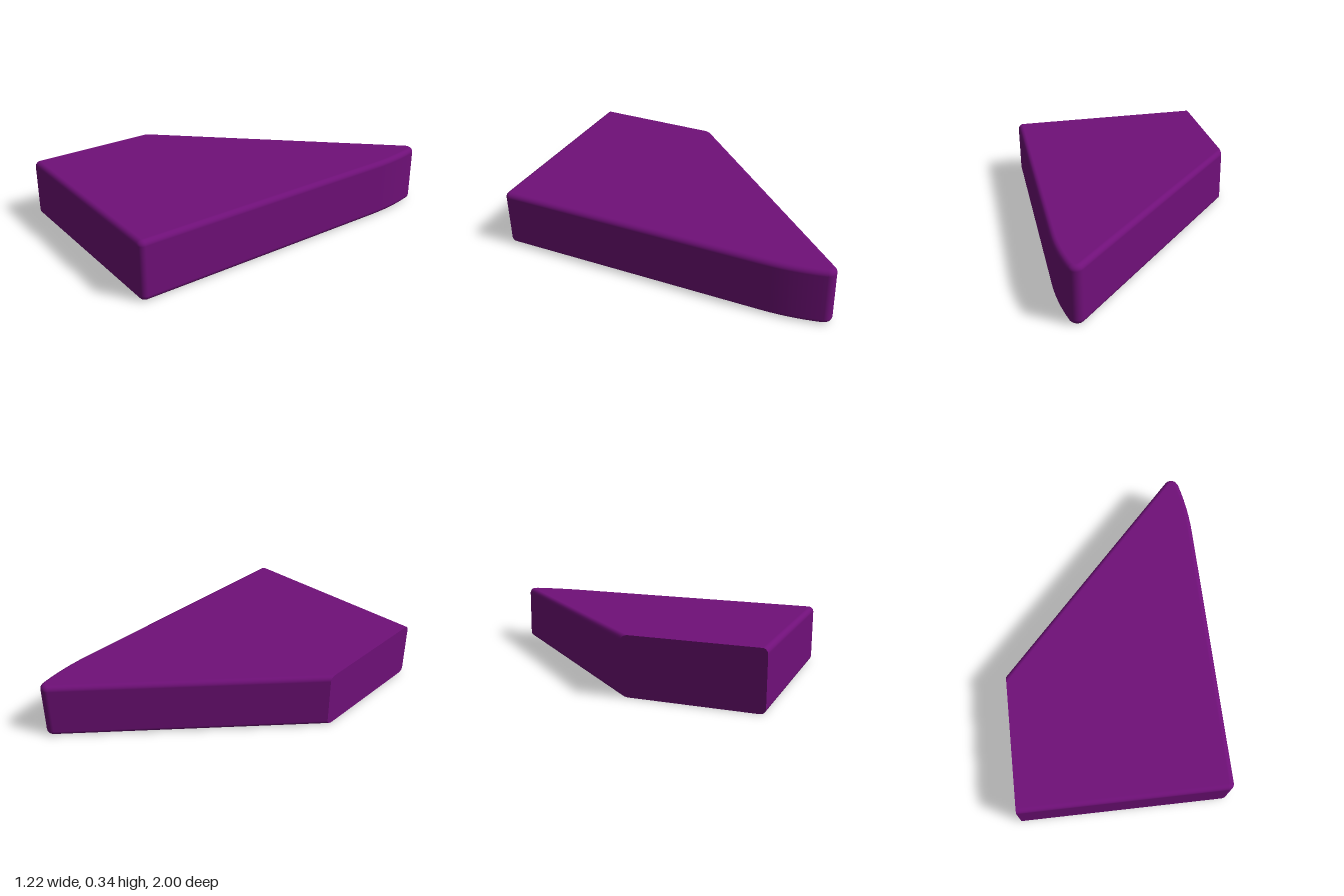
import * as THREE from 'three';

const HEIGHT = 0.345, BEVEL = 0.03, CUT_X = -0.612;

// Plan outline: arcs joined by straight runs [centre x, centre z, radius, from°, to°, steps]
const ARCS = [
  [0.577, 0.965, 0.035, 90, 0, 6],           // front corner
  [-0.888, -0.62, 1.5, 0, -13.3, 6],         // gently curved side
  [0.526, -0.955, 0.045, -13.3, -137, 10],   // rounded tip
];

// Each outline entry gives its outward normal and its position for a given inset
function outline() {
  const list = [];
  for (const [cx, cz, r, from, to, steps] of ARCS) {
    for (let i = 0; i <= steps; i++) {
      const a = THREE.MathUtils.degToRad(from + (to - from) * i / steps);
      const nx = Math.cos(a), nz = Math.sin(a);
      list.push({ nx, nz, at: (d) => [cx + (r - d) * nx, cz + (r - d) * nz] });
    }
  }
  // Run the straight walls on to the flat cut end
  const cutEnd = ({ nx, nz, at }) => ({
    nx, nz,
    at: (d) => {
      const [x, z] = at(d);
      return [CUT_X, z + (x - CUT_X) * nx / nz];
    },
  });
  return [cutEnd(list[0]), ...list, cutEnd(list[list.length - 1])];
}

// Wall profile from bottom to top with quarter-round edges
function profile() {
  const rows = [], steps = 5;
  for (const [centreY, start] of [[BEVEL, -90], [HEIGHT - BEVEL, 0]]) {
    for (let i = 0; i <= steps; i++) {
      const e = THREE.MathUtils.degToRad(start + 90 * i / steps);
      rows.push({ d: BEVEL * (1 - Math.cos(e)), y: centreY + BEVEL * Math.sin(e), e });
    }
  }
  return rows;
}

function wedgeGeometry() {
  const path = outline(), rows = profile();
  const n = path.length, m = rows.length;
  const positions = [], normals = [], index = [];
  const vertex = (p, row, normal) => {
    const [x, z] = p.at(row.d);
    positions.push(x, row.y, z);
    normals.push(...normal);
    return positions.length / 3 - 1;
  };

  // Bevelled walls
  for (const p of path) {
    for (const row of rows) {
      const c = Math.cos(row.e);
      vertex(p, row, [p.nx * c, Math.sin(row.e), p.nz * c]);
    }
  }
  for (let i = 0; i < n - 1; i++) {
    for (let j = 0; j < m - 1; j++) {
      const a = i * m + j, b = a + m;
      index.push(a, b, a + 1, b, b + 1, a + 1);
    }
  }

  // Flat top and bottom
  for (const [row, up] of [[rows[m - 1], 1], [rows[0], -1]]) {
    const ring = path.map((p) => vertex(p, row, [0, up, 0]));
    for (let i = 1; i < n - 1; i++) {
      if (up > 0) index.push(ring[0], ring[i], ring[i + 1]);
      else index.push(ring[0], ring[i + 1], ring[i]);
    }
  }

  // Flat cut end
  const ends = [path[0], path[n - 1]].map((p) => rows.map((row) => vertex(p, row, [-1, 0, 0])));
  for (let j = 0; j < m - 1; j++) {
    const [f, l] = ends;
    index.push(l[j], f[j], f[j + 1], l[j], f[j + 1], l[j + 1]);
  }

  const geometry = new THREE.BufferGeometry();
  geometry.setAttribute('position', new THREE.Float32BufferAttribute(positions, 3));
  geometry.setAttribute('normal', new THREE.Float32BufferAttribute(normals, 3));
  geometry.setIndex(index);
  return geometry;
}

export function createModel() {
  const group = new THREE.Group();
  group.name = 'wedgePlate';
  const body = new THREE.Mesh(wedgeGeometry(), new THREE.MeshStandardMaterial({ color: 0x701079 }));
  body.name = 'wedgeBody';
  group.add(body);
  return group;
}
